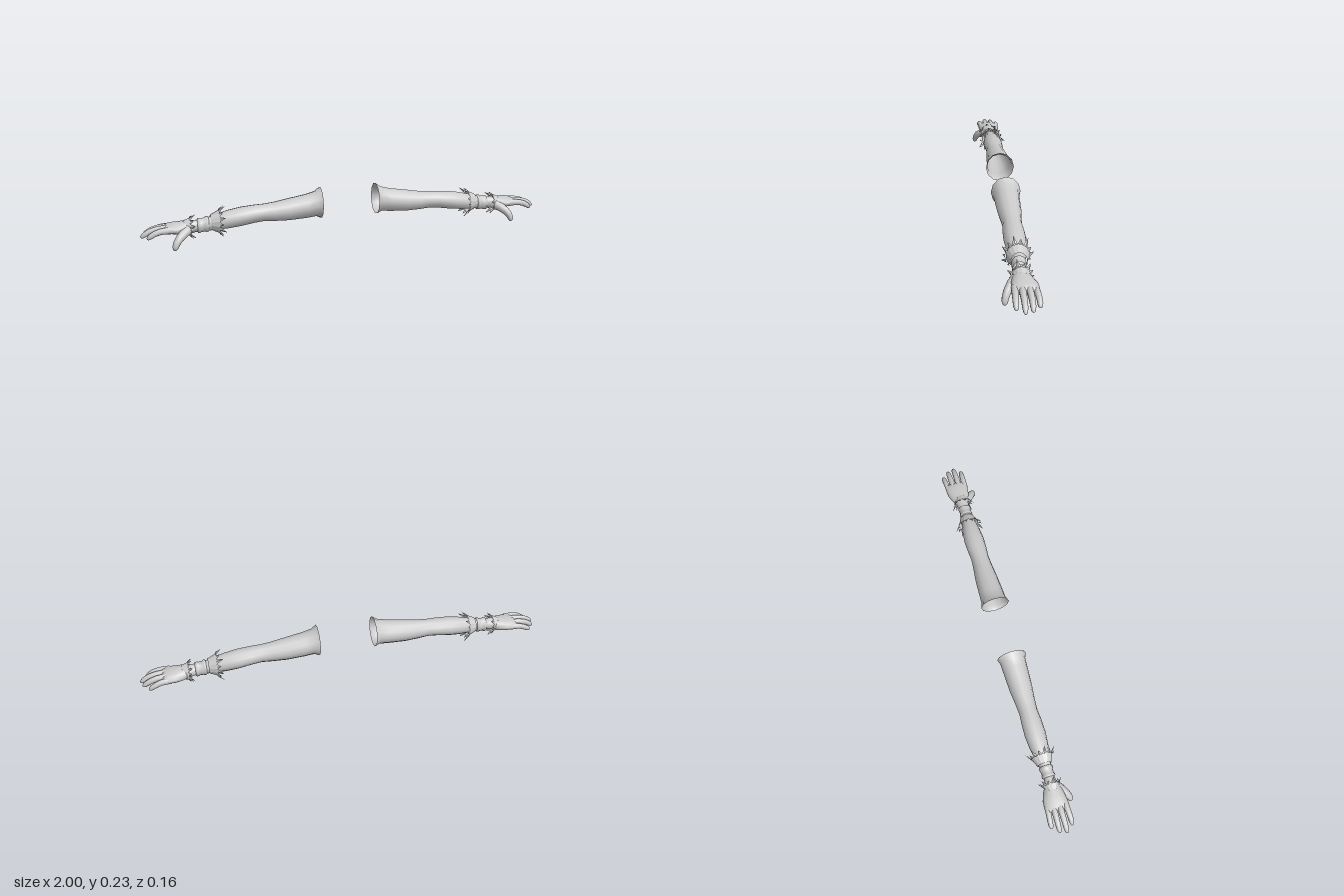
import * as THREE from 'three';

const material = new THREE.MeshStandardMaterial({ color: 0xcccccc, side: THREE.DoubleSide });
const flatMaterial = new THREE.MeshStandardMaterial({ color: 0xcccccc, side: THREE.DoubleSide, flatShading: true });

function buildGeometry(positions, index) {
  const geometry = new THREE.BufferGeometry();
  geometry.setAttribute('position', new THREE.Float32BufferAttribute(positions, 3));
  geometry.setIndex(index);
  geometry.computeVertexNormals();
  return geometry;
}

// Skin between elliptical rings: each section is [x, y, z, radiusUp, radiusSide]
function loft(sections, sides = 12, upright = false) {
  const centers = sections.map(s => new THREE.Vector3(s[0], s[1], s[2]));
  const positions = [], index = [];
  sections.forEach((s, i) => {
    const t = new THREE.Vector3(1, 0, 0);
    if (!upright) {
      t.subVectors(centers[Math.min(i + 1, centers.length - 1)], centers[Math.max(i - 1, 0)]).normalize();
    }
    const side = new THREE.Vector3(0, 0, 1);
    side.addScaledVector(t, -side.dot(t)).normalize();
    const up = new THREE.Vector3().crossVectors(side, t).normalize();
    for (let j = 0; j < sides; j++) {
      const a = j / sides * Math.PI * 2;
      const p = centers[i].clone().addScaledVector(up, Math.cos(a) * s[3]).addScaledVector(side, Math.sin(a) * s[4]);
      positions.push(p.x, p.y, p.z);
      if (i === 0) continue;
      const k = (j + 1) % sides, r = i * sides, q = r - sides;
      index.push(q + j, r + k, r + j, q + j, q + k, r + k);
    }
  });
  return buildGeometry(positions, index);
}

// Section from [x, top, bottom, front, back] limits
const limits = ([x, top, bottom, front, back]) =>
  [x, (top + bottom) / 2, (front + back) / 2, (top - bottom) / 2, (front - back) / 2];

// Rounded finger along a curve, tapering from r0 to r1
function digit(points, r0, r1) {
  const curve = new THREE.CatmullRomCurve3(points.map(p => new THREE.Vector3(...p)));
  const sections = [0, 0.2, 0.4, 0.6, 0.8, 0.92, 0.98, 1].map(u => {
    const p = curve.getPoint(u);
    const round = u > 0.9 ? [0.8, 0.45, 0.02][[0.92, 0.98, 1].indexOf(u)] : 1;
    const r = THREE.MathUtils.lerp(r0, r1, u) * round;
    return [p.x, p.y, p.z, r * 1.08, r];
  });
  return loft(sections, 10);
}

// Flared cuff whose ragged pointed leaves spread toward the elbow
function raggedCuff(x0, x1, x2, y, z, radii, count) {
  const positions = [], index = [];
  const put = (x, r, a) => positions.push(x, y + Math.cos(a) * r, z + Math.sin(a) * r * 0.93);
  for (let i = 0; i < count; i++) {
    const step = Math.PI * 2 / count, a = i * step;
    const long = [1, 0.6, 0.85, 0.5][i % 4];
    const n = positions.length / 3;
    put(x0, radii[0], a);
    put(x0, radii[0], a + step);
    put(x1, radii[1], a);
    put(x1, radii[1], a + step);
    put(x1 + (x2 - x1) * long, radii[1] + (radii[2] - radii[1]) * long, a + step * 0.5);
    put(x1, radii[1] * 1.08, a + step * 0.5);
    index.push(n, n + 1, n + 2, n + 1, n + 3, n + 2);
    index.push(n + 2, n + 5, n + 4, n + 5, n + 3, n + 4);
  }
  return buildGeometry(positions, index);
}

function armParts() {
  const parts = [];
  const add = (name, geometry, mat = material) => parts.push({ name, geometry, mat });

  // Sleeve and forearm, open at the shoulder
  add('arm', loft([
    [0.14, 0.236, 0.08, 0.062, -0.08],
    [0.165, 0.217, 0.092, 0.053, -0.071],
    [0.21, 0.205, 0.087, 0.051, -0.069],
    [0.30, 0.19, 0.082, 0.046, -0.065],
    [0.37, 0.178, 0.084, 0.039, -0.057],
    [0.42, 0.173, 0.088, 0.036, -0.053],
    [0.47, 0.171, 0.084, 0.04, -0.057],
    [0.53, 0.166, 0.074, 0.042, -0.059],
    [0.59, 0.156, 0.067, 0.037, -0.053],
    [0.64, 0.143, 0.064, 0.029, -0.043],
    [0.69, 0.129, 0.063, 0.022, -0.033],
    [0.75, 0.12, 0.062, 0.02, -0.03],
  ].map(limits), 12, true));

  // Torn cuffs on the forearm and wrist
  add('forearmCuff', raggedCuff(0.675, 0.635, 0.605, 0.103, -0.008, [0.037, 0.056, 0.083], 14), flatMaterial);
  add('wristCuff', raggedCuff(0.80, 0.772, 0.745, 0.089, -0.006, [0.034, 0.044, 0.066], 12), flatMaterial);

  // Wrist band with raised edges
  add('wristBand', loft([
    [0.685, 0.098, -0.006, 0.034, 0.029],
    [0.688, 0.097, -0.006, 0.039, 0.033],
    [0.698, 0.096, -0.006, 0.039, 0.033],
    [0.702, 0.095, -0.006, 0.035, 0.03],
    [0.722, 0.093, -0.005, 0.034, 0.029],
    [0.725, 0.093, -0.005, 0.037, 0.032],
    [0.735, 0.092, -0.005, 0.037, 0.032],
    [0.738, 0.092, -0.005, 0.03, 0.026],
  ], 12, true));

  // Palm
  add('palm', loft([
    [0.735, 0.092, -0.005, 0.029, 0.025],
    [0.77, 0.09, -0.006, 0.031, 0.032],
    [0.80, 0.088, -0.008, 0.031, 0.046],
    [0.835, 0.088, -0.011, 0.028, 0.056],
    [0.87, 0.089, -0.012, 0.023, 0.058],
    [0.89, 0.089, -0.012, 0.016, 0.052],
    [0.897, 0.089, -0.012, 0.002, 0.035],
  ], 14, true));

  // Four fingers: base z, tip z, tip x
  [[0.031, 0.036, 0.972], [0.003, 0.003, 1.0], [-0.026, -0.029, 0.99], [-0.053, -0.06, 0.962]].forEach(([z0, z1, tip], i) => {
    const high = [0, 0.003, 0.002, -0.003][i], length = tip - 0.855;
    add('finger' + (i + 1), digit([
      [0.855, 0.089 + high, z0],
      [0.855 + length * 0.4, 0.09 + high, (z0 + z1) / 2],
      [0.855 + length * 0.75, 0.078 + high, z1],
      [tip, 0.057, z1],
    ], i === 3 ? 0.0145 : 0.016, 0.011));
  });

  // Thumb
  add('thumb', digit([
    [0.775, 0.085, 0.012],
    [0.808, 0.07, 0.042],
    [0.835, 0.045, 0.062],
    [0.847, 0.022, 0.069],
    [0.85, 0.002, 0.07],
  ], 0.023, 0.011));
  return parts;
}

// Mirror a geometry across x and restore its outward winding
function mirrored(geometry) {
  const copy = geometry.clone().scale(-1, 1, 1);
  copy.setIndex(Array.from(geometry.index.array).reverse());
  copy.computeVertexNormals();
  return copy;
}

export function createModel() {
  const model = new THREE.Group();
  const parts = armParts();
  for (const name of ['leftArm', 'rightArm']) {
    const arm = new THREE.Group();
    arm.name = name;
    for (const part of parts) {
      const mesh = new THREE.Mesh(name === 'leftArm' ? part.geometry : mirrored(part.geometry), part.mat);
      mesh.name = part.name;
      arm.add(mesh);
    }
    model.add(arm);
  }
  return model;
}
